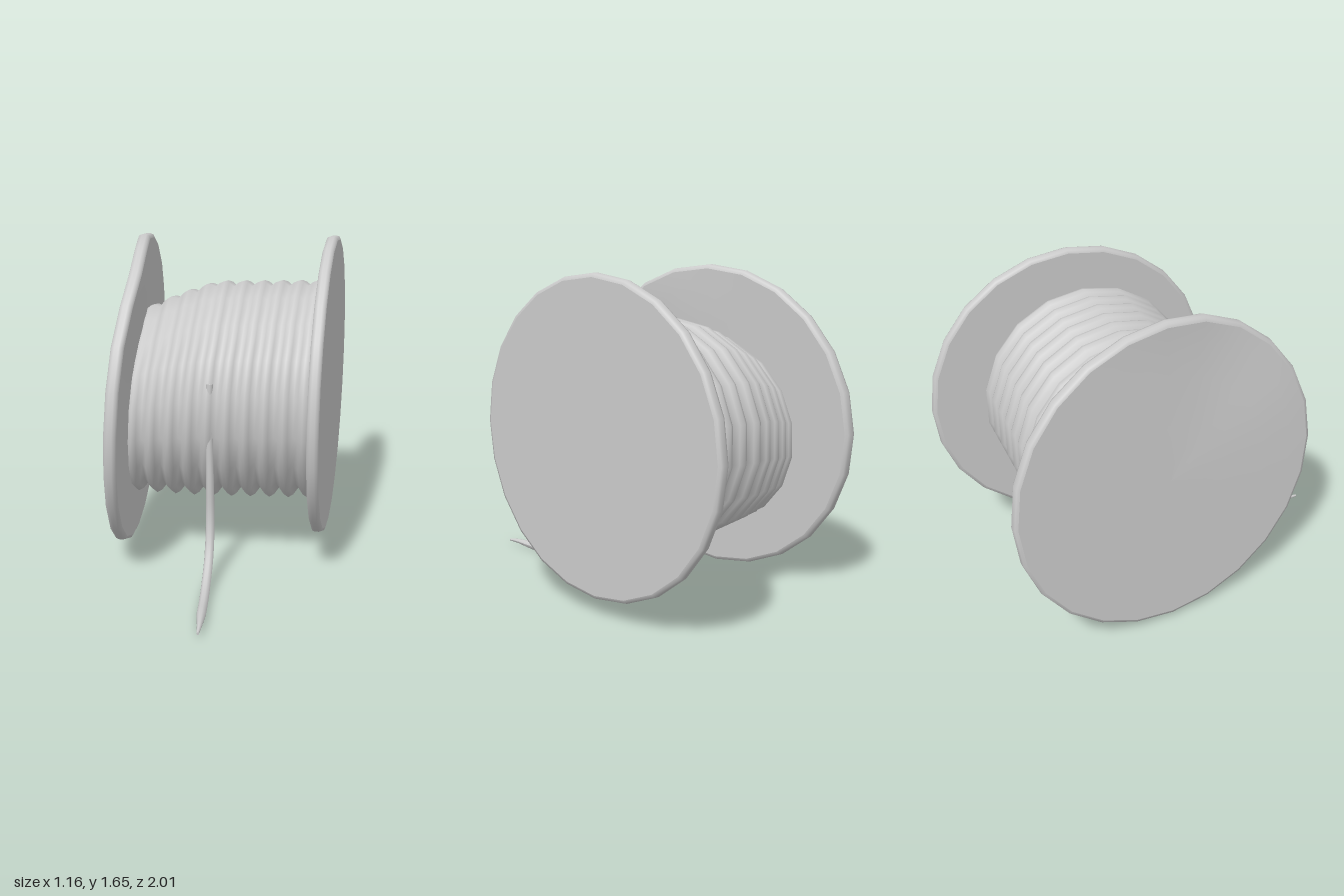
import * as THREE from 'three';

const TAU = Math.PI * 2;

// Skins closed loops that advance along +x; point(i, angle) returns [x, y, z]
function loft(name, rings, sides, point, material) {
  const pos = [], index = [];
  for (let i = 0; i < rings; i++)
    for (let j = 0; j < sides; j++) pos.push(...point(i, (j / sides) * TAU));
  for (let i = 0; i < rings - 1; i++)
    for (let j = 0; j < sides; j++) {
      const k = (j + 1) % sides;
      const a = i * sides + j, b = i * sides + k, c = a + sides, d = b + sides;
      index.push(a, b, c, b, d, c);
    }
  const geo = new THREE.BufferGeometry();
  geo.setAttribute('position', new THREE.Float32BufferAttribute(pos, 3));
  geo.setIndex(index);
  geo.computeVertexNormals();
  const mesh = new THREE.Mesh(geo, material);
  mesh.name = name;
  return mesh;
}

// Middle surface of the warped left flange: leaning, with a dent near the upper front
function leftPlane(y, z) {
  const dent = 0.038 * Math.exp(-((y - 1.5) ** 2 + (z - 0.25) ** 2) / 0.12);
  return -0.46 + 0.1 * (z + 0.1) + 0.052 * (y - 0.835) + dent;
}

// Nearly upright right flange
const rightPlane = (y, z) => 0.543 + 0.006 * (z + 0.225);

// Disc with flat faces and a softened rim, following a plane function
function flange(name, radius, cy, cz, half, plane, material) {
  const face = [[0, 1], [0.35, 1], [0.65, 1], [0.85, 1], [0.975, 1]];
  const rim = [[0.975, 1], [0.994, 0.8], [1, 0.35]];
  const side = [...face, ...rim];
  const profile = [
    ...side.map(([r, h]) => [r, -h]),
    ...side.slice().reverse(),
  ];
  return loft(name, profile.length, 24, (i, t) => {
    const [r, h] = profile[i];
    const y = cy + r * radius * Math.cos(t), z = cz + r * radius * Math.sin(t);
    return [plane(y, z) + h * half, y, z];
  }, material);
}

// Piecewise-linear lookup in rows of [t, radius, centre y, centre z]
function sample(rows, t) {
  let i = 0;
  while (i < rows.length - 2 && t > rows[i + 1][0]) i++;
  const a = rows[i], b = rows[i + 1];
  const f = (t - a[0]) / (b[0] - a[0]);
  return a.map((v, k) => THREE.MathUtils.lerp(v, b[k], f));
}

export function createModel() {
  const group = new THREE.Group();
  group.name = 'threadSpool';
  const grey = new THREE.MeshStandardMaterial({ color: 0xcccccc });
  grey.name = 'light grey';

  group.add(flange('rightFlange', 0.78, 0.87, -0.225, 0.029, rightPlane, grey));
  group.add(flange('leftFlange', 0.817, 0.835, -0.1, 0.032, leftPlane, grey));

  // Wound thread: ridged drum whose turns tilt with the left flange
  const winding = [
    [0, 0.49, 0.765, -0.11],
    [0.2, 0.54, 0.805, -0.135],
    [0.4, 0.575, 0.837, -0.155],
    [1, 0.572, 0.865, -0.16],
  ];
  const turns = 10, steps = 4;
  group.add(loft('woundThread', turns * steps + 1, 18, (i, angle) => {
    const t = i / (turns * steps);
    const [, r0, cy, cz] = sample(winding, t);
    const ridge = Math.abs(Math.sin((i / steps) * Math.PI));
    const depth = 0.04 - 0.012 * Math.cos(angle);
    const r = r0 - depth * (1 - ridge);
    const y = cy + r * Math.cos(angle), z = cz + r * Math.sin(angle);
    return [THREE.MathUtils.lerp(leftPlane(y, z), 0.53, t), y, z];
  }, grey));

  // Loose thread end hanging down the front and trailing along the ground
  const path = new THREE.CatmullRomCurve3([
    [0.028, 1.02, 0.375], [0.028, 0.8, 0.38], [0.03, 0.55, 0.375],
    [0.03, 0.34, 0.37], [0.033, 0.22, 0.395], [0.038, 0.12, 0.455],
    [0.046, 0.045, 0.56], [0.06, 0.022, 0.68], [0.078, 0.024, 0.83],
    [0.092, 0.03, 0.93], [0.098, 0.026, 1],
  ].map((p) => new THREE.Vector3(...p)));
  const segs = 40, radial = 10;
  const tail = new THREE.TubeGeometry(path, segs, 1, radial);
  const p = tail.attributes.position, v = new THREE.Vector3();
  for (let i = 0; i <= segs; i++) {
    const u = i / segs, c = path.getPointAt(u);
    // slim at the top, fuller below, pinched at the tip
    let r = 0.017 + 0.006 * THREE.MathUtils.smoothstep(u, 0.1, 0.6);
    if (u > 0.88) r *= 1 - 0.75 * (u - 0.88) / 0.12;
    for (let j = 0; j <= radial; j++) {
      const k = i * (radial + 1) + j;
      v.fromBufferAttribute(p, k).sub(c).multiplyScalar(r).add(c);
      p.setXYZ(k, v.x, Math.max(v.y, 0), v.z);
    }
  }
  tail.computeVertexNormals();
  const tailMesh = new THREE.Mesh(tail, grey);
  tailMesh.name = 'looseThread';
  group.add(tailMesh);

  // Small discs closing both ends of the loose thread
  [[0, 0.017, -1], [1, 0.006, 1]].forEach(([u, r, dir]) => {
    const cap = new THREE.Mesh(new THREE.CircleGeometry(r, radial), grey);
    cap.name = 'threadEnd';
    cap.position.copy(path.getPointAt(u));
    cap.quaternion.setFromUnitVectors(
      new THREE.Vector3(0, 0, 1), path.getTangentAt(u).multiplyScalar(dir));
    group.add(cap);
  });

  return group;
}
